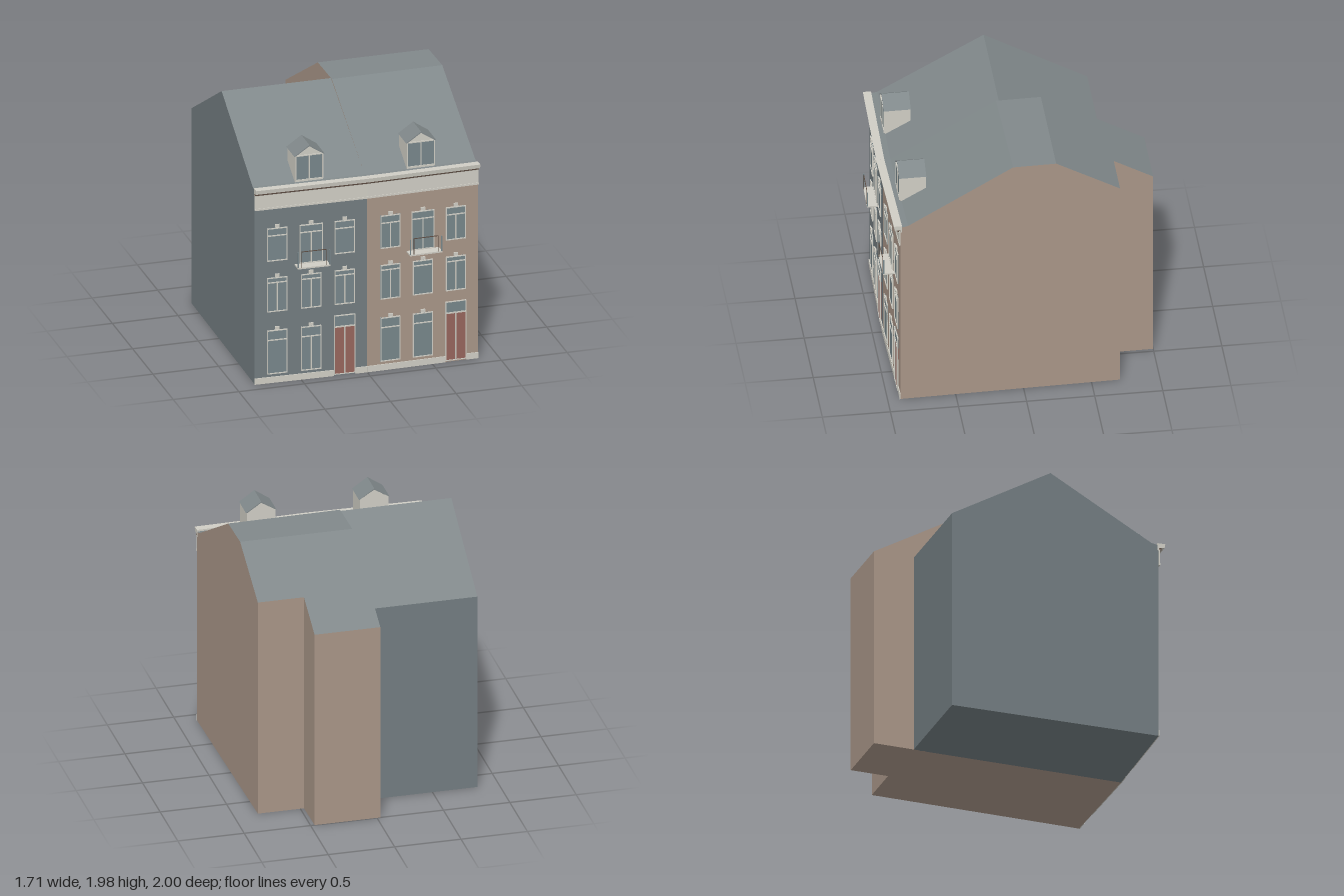
import * as THREE from 'three';

const material = (name, color) => {
  const m = new THREE.MeshStandardMaterial({ color });
  m.name = name;
  return m;
};

export function createModel() {
  const greyWall = material('grey wall', 0x727c80);
  const tanWall = material('tan wall', 0xa89587);
  const roofMat = material('roof slate', 0x80888a);
  const cream = material('cream trim', 0xcfcdc4);
  const glass = material('window glass', 0x77868a);
  const doorRed = material('door red', 0x96655c);
  const dark = material('dark metal', 0x59493f);

  const model = new THREE.Group();
  model.name = 'townhouses';

  const group = (parent, name) => {
    const g = new THREE.Group();
    g.name = name;
    parent.add(g);
    return g;
  };
  const add = (parent, name, geometry, mat) => {
    const m = new THREE.Mesh(geometry, mat);
    m.name = name;
    parent.add(m);
    return m;
  };
  // Box given by its limits
  const box = (parent, name, mat, x0, x1, y0, y1, z0, z1) => {
    const m = add(parent, name, new THREE.BoxGeometry(x1 - x0, y1 - y0, z1 - z0), mat);
    m.position.set((x0 + x1) / 2, (y0 + y1) / 2, (z0 + z1) / 2);
    return m;
  };

  const FRONT = 0.922, LEAN = 0.02;
  const frontZ = x => FRONT - LEAN * Math.abs(x);

  // Cross-section of a house in [z, y], from the front foot over the roof to the back foot;
  // the party and gable walls run slightly askew from xFront to xBack
  const section = (xFront, xBack, profile) => profile.map(([z, y]) =>
    new THREE.Vector3(THREE.MathUtils.lerp(xBack, xFront, (z + 1) / 1.92), y, z));

  // Joins two cross-sections into a closed body; roofEdges are drawn as slate
  const houseBody = (name, a, b, wallMat, roofEdges) => {
    const walls = [], slates = [];
    const tri = (list, ...pts) => pts.forEach(p => list.push(p.x, p.y, p.z));
    const n = a.length;
    for (let i = 0; i < n; i++) {
      const j = (i + 1) % n, list = roofEdges.includes(i) ? slates : walls;
      tri(list, a[i], b[i], b[j]);
      tri(list, a[i], b[j], a[j]);
    }
    for (let i = 1; i < n - 1; i++) {
      tri(walls, a[0], a[i], a[i + 1]);
      tri(walls, b[0], b[i + 1], b[i]);
    }
    const g = group(model, name);
    [['walls', walls, wallMat], ['roof', slates, roofMat]].forEach(([part, list, mat]) => {
      const geo = new THREE.BufferGeometry();
      geo.setAttribute('position', new THREE.Float32BufferAttribute(list, 3));
      geo.computeVertexNormals();
      add(g, part, geo, mat);
    });
  };

  // Left house: plain gable
  const leftProfile = x => [[frontZ(x), 0], [frontZ(x), 1.53], [frontZ(x) - 0.055, 1.54],
    [0.07, 1.98], [-0.69, 1.54], [-0.69, 0]];
  houseBody('leftHouse', section(-0.85, -0.835, leftProfile(0.85)),
    section(0, -0.02, leftProfile(0)), greyWall, [1, 2, 3]);

  // Right house: flat ridge, deeper, with one back corner cut away
  const rightProfile = (x, ridge, back, backY) => [[frontZ(x), 0], [frontZ(x), 1.53],
    [frontZ(x) - 0.055, 1.54], [ridge, 1.98], [-0.24, 1.98], [back, backY], [back, 0]];
  houseBody('rightHouseDeepPart', section(0, -0.025, rightProfile(0, 0.09, -1, 1.54)),
    section(0.49, 0.47, rightProfile(0.48, 0.082, -1, 1.54)), tanWall, [1, 2, 3, 4]);
  houseBody('rightHouseShortPart', section(0.49, 0.47, rightProfile(0.48, 0.082, -0.71, 1.708)),
    section(0.85, 0.815, rightProfile(0.85, 0.077, -0.71, 1.708)), tanWall, [1, 2, 3, 4]);

  // Four thin bars around an opening
  const frame = (g, x0, x1, y0, y1, t, z) => {
    box(g, 'frameLeft', cream, x0, x0 + t, y0, y1, 0, z);
    box(g, 'frameRight', cream, x1 - t, x1, y0, y1, 0, z);
    box(g, 'frameBottom', cream, x0, x1, y0, y0 + t, 0, z);
    box(g, 'frameTop', cream, x0, x1, y1 - t, y1, 0, z);
  };

  const windowAt = (parent, cx, w, y0, y1, transom, mullion) => {
    const g = group(parent, 'window'), x0 = cx - w / 2, x1 = cx + w / 2;
    box(g, 'pane', glass, x0, x1, y0, y1, 0, 0.004);
    frame(g, x0, x1, y0, y1, 0.007, 0.01);
    box(g, 'transom', cream, x0, x1, transom - 0.004, transom + 0.004, 0, 0.01);
    if (mullion) box(g, 'mullion', cream, cx - 0.004, cx + 0.004, y0, transom, 0, 0.008);
    box(g, 'keystone', cream, cx - 0.017, cx + 0.017, y1 + 0.003, y1 + 0.027, 0, 0.01);
  };

  const doorAt = (parent, cx) => {
    const g = group(parent, 'door'), x0 = cx - 0.08, x1 = cx + 0.08;
    box(g, 'doorLeaves', doorRed, x0, x1, 0.012, 0.385, 0, 0.005);
    box(g, 'fanlight', glass, x0, x1, 0.385, 0.475, 0, 0.004);
    frame(g, x0, x1, 0.01, 0.475, 0.006, 0.01);
    box(g, 'doorHead', cream, x0, x1, 0.38, 0.39, 0, 0.01);
    box(g, 'doorJoint', cream, cx - 0.004, cx + 0.004, 0.015, 0.38, 0, 0.009);
  };

  const balconyAt = (parent, cx) => {
    const g = group(parent, 'balcony'), x0 = cx - 0.123, x1 = cx + 0.123;
    box(g, 'slab', cream, x0, x1, 0.904, 0.915, 0, 0.082);
    [x0 + 0.004, x1 - 0.004].forEach(x =>
      box(g, 'post', glass, x - 0.004, x + 0.004, 0.915, 1.035, 0.074, 0.082));
    box(g, 'handrail', dark, x0 + 0.03, x1 - 0.03, 1.037, 1.042, 0.078, 0.083);
    [x0 + 0.03, x1 - 0.03].forEach(x =>
      box(g, 'railPost', dark, x - 0.002, x + 0.002, 0.915, 1.04, 0.078, 0.082));
  };

  // Cornice profile in [out from wall, y]
  const cornice = new THREE.Shape([[-0.01, 1.488], [0.014, 1.488], [0.02, 1.508], [0.045, 1.514],
    [0.05, 1.545], [-0.01, 1.545]].map(p => new THREE.Vector2(...p)));

  // Each front leans back a little from the shared wall
  const facade = (side, columns, mullions, doorColumn) => {
    const g = group(model, side < 0 ? 'leftFront' : 'rightFront');
    g.position.z = FRONT;
    g.rotation.y = side * LEAN;
    const [a, b] = side < 0 ? [-0.853, 0] : [0, 0.853];

    const corniceGeo = new THREE.ExtrudeGeometry(cornice, { depth: 0.853, bevelEnabled: false });
    corniceGeo.rotateY(-Math.PI / 2).translate(b, 0, 0);
    add(g, 'cornice', corniceGeo, cream);
    box(g, 'corniceBand', dark, a, b, 1.495, 1.509, 0, 0.022);
    box(g, 'frieze', cream, a, b, 1.375, 1.49, 0, 0.008);
    box(g, 'friezeMoulding', cream, a, b, 1.372, 1.387, 0, 0.012);

    // Plinth stops at the door
    const dx = columns[doorColumn];
    box(g, 'plinth', cream, a, dx - 0.08, 0, 0.047, 0, 0.007);
    box(g, 'plinth', cream, dx + 0.08, b, 0, 0.047, 0, 0.007);

    const rows = [[0.07, 0.415, 0.337], [0.56, 0.83, 0.79], [0.96, 1.22, 1.16]];
    rows.forEach(([y0, y1, transom], r) => columns.forEach((cx, c) => {
      if (r === 0 && c === doorColumn) return doorAt(g, cx);
      const tall = r === 2 && c === 1;
      windowAt(g, cx, tall ? 0.175 : 0.153, tall ? 0.916 : y0, y1, transom, mullions[r][c]);
    }));
    balconyAt(g, columns[1]);
  };
  facade(-1, [-0.681, -0.424, -0.17], [[0, 1, 0], [1, 1, 1], [0, 1, 0]], 2);
  facade(1, [0.178, 0.427, 0.679], [[0, 0, 0], [1, 0, 1], [1, 1, 1]], 2);

  // Dormers
  const dormerAt = cx => {
    const g = group(model, 'dormer');
    g.position.set(cx, 0, 0.675);
    const body = new THREE.Shape([[-0.106, 1.54], [0.106, 1.54], [0.106, 1.75], [0, 1.815],
      [-0.106, 1.75]].map(p => new THREE.Vector2(...p)));
    add(g, 'dormerWalls', new THREE.ExtrudeGeometry(body, { depth: 0.19, bevelEnabled: false }), cream);
    const cap = new THREE.Shape([[-0.115, 1.746], [-0.104, 1.746], [0, 1.815], [0.104, 1.746],
      [0.115, 1.746], [0, 1.825]].map(p => new THREE.Vector2(...p)));
    add(g, 'dormerRoof', new THREE.ExtrudeGeometry(cap, { depth: 0.2, bevelEnabled: false }), roofMat);
    box(g, 'dormerPane', glass, -0.1, 0.1, 1.558, 1.742, 0.188, 0.193);
    [-0.103, 0, 0.103].forEach(x =>
      box(g, 'dormerMullion', cream, x - 0.004, x + 0.004, 1.55, 1.748, 0.188, 0.198));
    [1.555, 1.745].forEach(y =>
      box(g, 'dormerRail', cream, -0.107, 0.107, y - 0.004, y + 0.004, 0.188, 0.198));
  };
  [-0.424, 0.427].forEach(dormerAt);

  return model;
}
